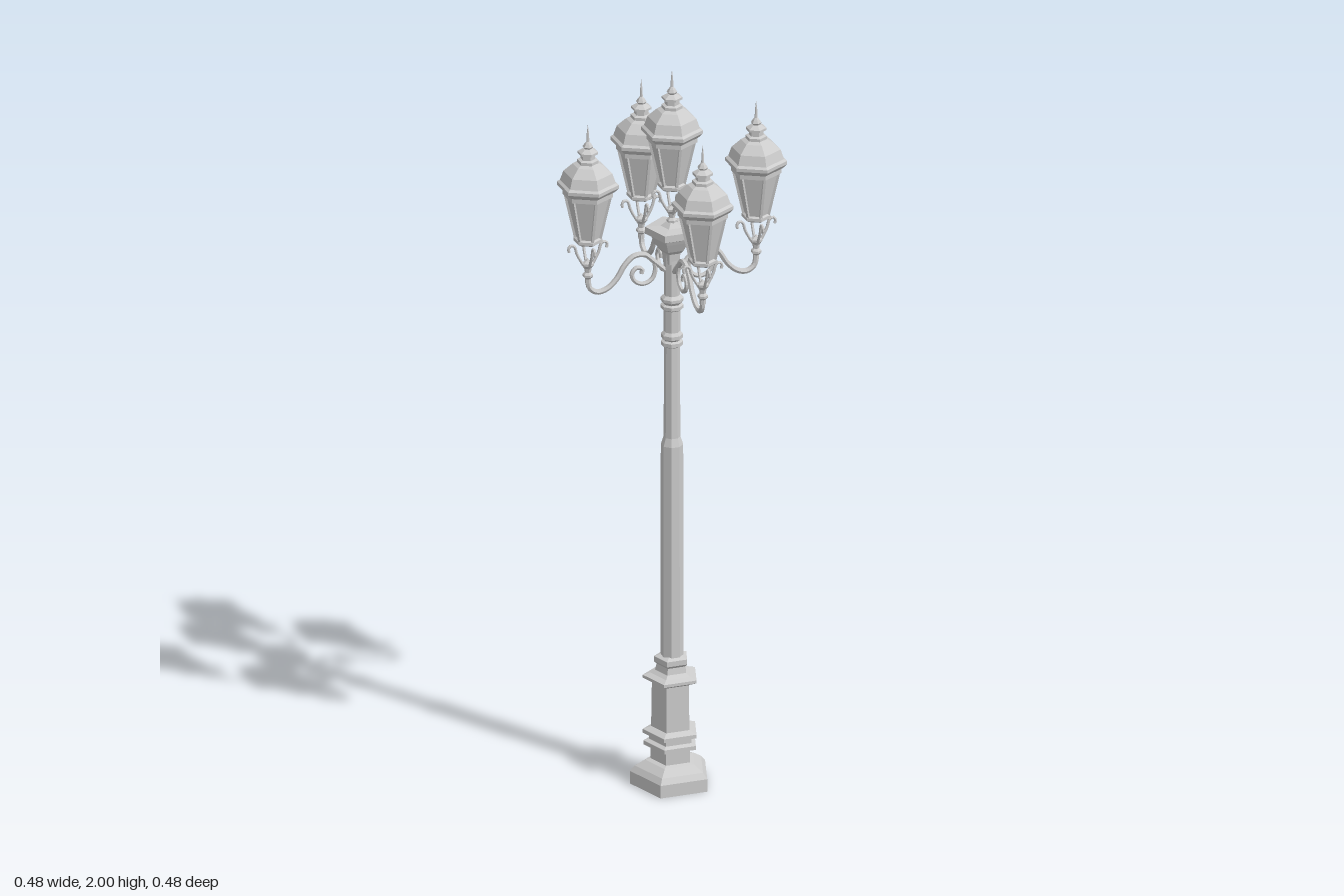
import * as THREE from 'three';

const metal = new THREE.MeshStandardMaterial({ color: 0xcccccc, flatShading: true });
const deg = Math.PI / 180;

function add(parent, name, geometry) {
  const mesh = new THREE.Mesh(geometry, metal);
  mesh.name = name;
  parent.add(mesh);
  return mesh;
}

// Faceted turned part; profile runs bottom to top as [radius, height]
function turned(parent, name, profile, sides, startDeg) {
  const pts = profile.map(([r, y]) => new THREE.Vector2(r, y));
  return add(parent, name, new THREE.LatheGeometry(pts, sides, startDeg * deg));
}

// Bent rod lying in the x-y plane
function rod(parent, name, path, radius, steps = 20) {
  const curve = new THREE.CatmullRomCurve3(path.map(([x, y]) => new THREE.Vector3(x, y, 0)));
  return add(parent, name, new THREE.TubeGeometry(curve, steps, radius, 6));
}

// Lantern, with its origin at the roof's widest edge
function createLantern() {
  const lantern = new THREE.Group();
  lantern.name = 'lantern';
  const start = 46;

  turned(lantern, 'roof', [
    [0, -0.03], [0.066, -0.03], [0.066, -0.018], [0.072, -0.014], [0.081, -0.004], [0.081, 0.005],
    [0.073, 0.01], [0.064, 0.036], [0.04, 0.058], [0.028, 0.063], [0.028, 0.071],
    [0.019, 0.074], [0.019, 0.085], [0.027, 0.088], [0.027, 0.094], [0.013, 0.102], [0, 0.106],
  ], 6, start);
  turned(lantern, 'finial', [
    [0.009, 0.1], [0.014, 0.108], [0.009, 0.116], [0.004, 0.122], [0.003, 0.145], [0, 0.17],
  ], 6, start);
  turned(lantern, 'glassBody', [[0, -0.15], [0.031, -0.15], [0.058, -0.03], [0, -0.03]], 6, start);
  turned(lantern, 'bodyFoot', [
    [0, -0.162], [0.03, -0.162], [0.038, -0.157], [0.038, -0.149], [0.032, -0.145], [0, -0.145],
  ], 6, start);

  // Corner bars of the glass body
  for (let i = 0; i < 6; i++) {
    const holder = new THREE.Group();
    holder.name = 'cornerBar';
    holder.rotation.y = (start - 90 + i * 60) * deg;
    const bar = add(holder, 'bar', new THREE.BoxGeometry(0.007, 0.126, 0.007));
    bar.position.set(0.0455, -0.09, 0);
    bar.rotation.z = -Math.atan2(0.027, 0.12);
    lantern.add(holder);
  }

  // Four curled brackets gathered into the stem
  for (let i = 0; i < 4; i++) {
    const bracket = rod(lantern, 'bracket', [
      [0.051, -0.182], [0.053, -0.172], [0.046, -0.164], [0.037, -0.168],
      [0.03, -0.19], [0.019, -0.212], [0.007, -0.232],
    ], 0.004, 16);
    bracket.rotation.y = (45 + i * 90) * deg;
  }
  turned(lantern, 'stem', [
    [0, -0.275], [0.008, -0.275], [0.008, -0.262], [0.014, -0.256], [0.014, -0.25],
    [0.008, -0.244], [0.01, -0.232], [0.016, -0.224], [0.016, -0.218], [0.006, -0.212], [0, -0.205],
  ], 6, start);
  return lantern;
}

export function createModel() {
  const model = new THREE.Group();
  model.name = 'streetLamp';

  // Five-sided pedestal
  turned(model, 'pedestal', [
    [0, 0], [0.109, 0], [0.109, 0.035], [0.096, 0.05], [0.07, 0.066], [0.056, 0.07],
    [0.056, 0.105], [0.074, 0.109], [0.074, 0.12], [0.06, 0.125], [0.06, 0.138],
    [0.076, 0.142], [0.076, 0.152], [0.054, 0.16], [0.052, 0.285],
    [0.062, 0.29], [0.076, 0.296], [0.076, 0.304], [0.056, 0.31], [0.044, 0.318],
    [0.04, 0.335], [0.047, 0.342], [0.047, 0.356], [0.03, 0.362], [0, 0.362],
  ], 5, 81.5);

  // Stepped shaft with collars
  turned(model, 'shaft', [
    [0, 0.35], [0.03, 0.35], [0.029, 0.95], [0.022, 0.972], [0.02, 1.225],
    [0.029, 1.23], [0.029, 1.24], [0.022, 1.244], [0.029, 1.25], [0.029, 1.26],
    [0.022, 1.268], [0.022, 1.328], [0.03, 1.333], [0.03, 1.342], [0.024, 1.346],
    [0.03, 1.354], [0.03, 1.362], [0.021, 1.37], [0.021, 1.5], [0, 1.5],
  ], 8, 22.5);

  // Flared capital carrying the central lantern
  turned(model, 'capital', [
    [0, 1.46], [0.023, 1.46], [0.026, 1.49], [0.036, 1.5], [0.05, 1.525], [0.055, 1.535],
    [0.07, 1.541], [0.07, 1.56], [0.03, 1.563], [0.014, 1.575], [0, 1.575],
  ], 5, 81.5);

  const top = createLantern();
  top.name = 'centralLantern';
  top.position.y = 1.83;
  model.add(top);

  // Four scrolled arms on the diagonals, each holding a lantern
  const reach = 0.231;
  for (let i = 0; i < 4; i++) {
    const angle = (45 + i * 90) * deg;
    const arm = new THREE.Group();
    arm.name = 'arm';
    arm.rotation.y = angle;
    rod(arm, 'armRod', [
      [reach, 1.45], [0.226, 1.42], [0.205, 1.406], [0.178, 1.412], [0.152, 1.435],
      [0.13, 1.47], [0.105, 1.492], [0.075, 1.492], [0.052, 1.472], [0.018, 1.44],
    ], 0.0075, 36);
    rod(arm, 'scroll', [
      [0.05, 1.475], [0.046, 1.445], [0.056, 1.42], [0.08, 1.411], [0.103, 1.422],
      [0.11, 1.443], [0.098, 1.458], [0.083, 1.453], [0.083, 1.44],
    ], 0.006, 32);
    model.add(arm);

    const lantern = createLantern();
    lantern.position.set(reach * Math.cos(angle), 1.71, -reach * Math.sin(angle));
    model.add(lantern);
  }
  return model;
}
